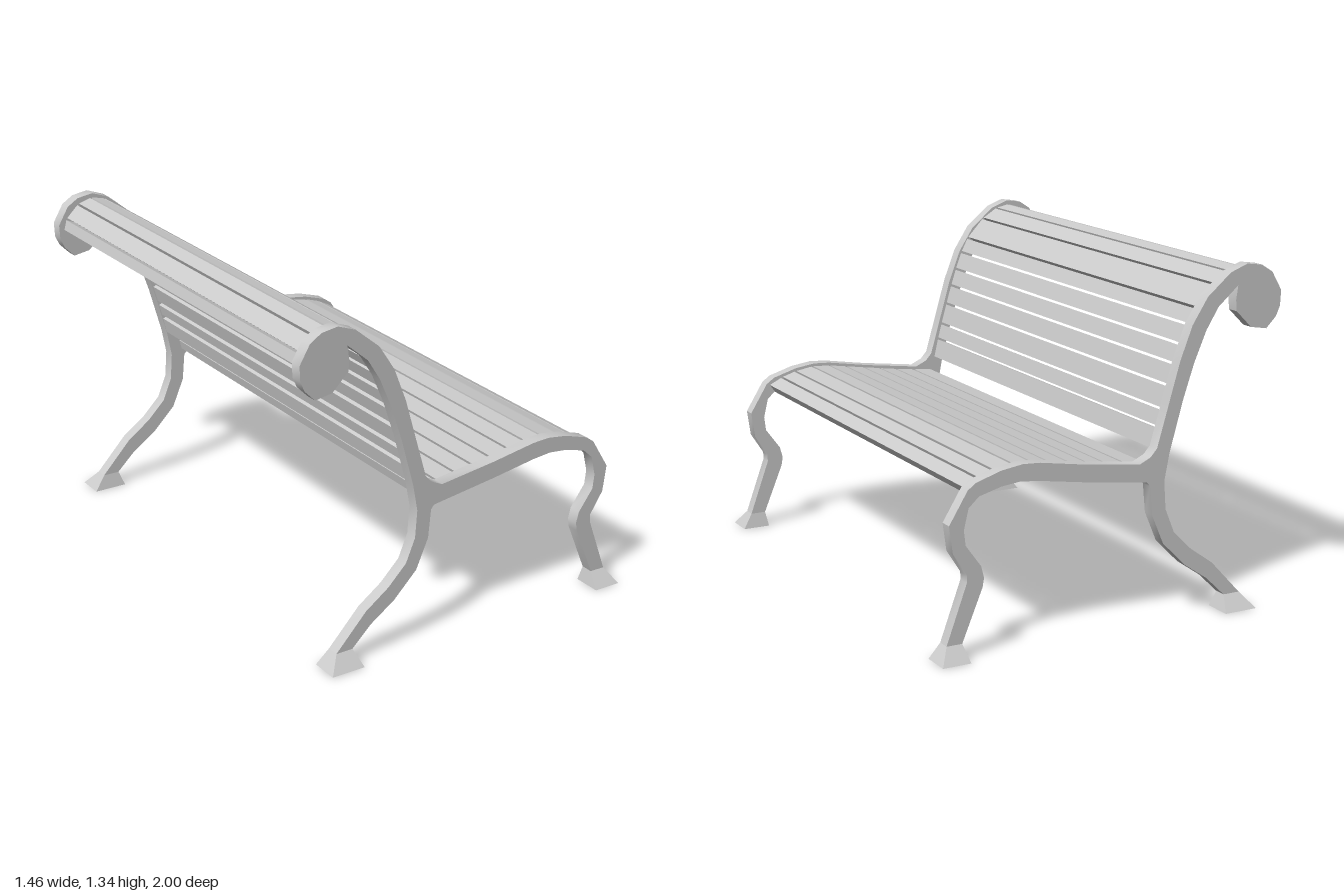
import * as THREE from 'three';
import { toCreasedNormals } from 'three/addons/utils/BufferGeometryUtils.js';

const material = new THREE.MeshStandardMaterial({ color: 0xcccccc });

// Side profile of the end frame (x, y): scroll, back, seat rail and both legs
const FRAME = [
  [-0.73, 1.227], [-0.687, 1.3], [-0.64, 1.33], [-0.573, 1.34], [-0.5, 1.313], [-0.4, 1.23],
  [-0.335, 1.13], [-0.284, 1], [-0.24, 0.85], [-0.19, 0.68], [-0.163, 0.65], [-0.115, 0.628],
  [0.123, 0.66], [0.307, 0.691], [0.378, 0.695], [0.464, 0.683], [0.566, 0.652], [0.6, 0.628],
  [0.675, 0.507], [0.66, 0.401], [0.605, 0.315], [0.605, 0.284], [0.687, 0.06],
  [0.624, 0.06], [0.541, 0.26], [0.535, 0.295], [0.547, 0.34], [0.609, 0.425], [0.616, 0.483],
  [0.597, 0.562], [0.555, 0.6], [0.464, 0.624], [0.389, 0.632], [0.311, 0.624], [0.123, 0.593],
  [-0.15, 0.554], [-0.163, 0.538], [-0.174, 0.425], [-0.225, 0.307], [-0.323, 0.209],
  [-0.425, 0.139], [-0.507, 0.06], [-0.577, 0.06], [-0.448, 0.198], [-0.35, 0.268],
  [-0.272, 0.346], [-0.233, 0.44], [-0.225, 0.55], [-0.245, 0.655], [-0.3, 0.851],
  [-0.346, 0.988], [-0.397, 1.106], [-0.448, 1.188], [-0.534, 1.262], [-0.526, 1.207],
  [-0.53, 1.164], [-0.597, 1.098], [-0.667, 1.086], [-0.71, 1.129], [-0.727, 1.168],
];

// Joints between neighbouring slats, on their outer faces
const SEAT = [
  [0.59, 0.62], [0.53, 0.65], [0.466, 0.67], [0.386, 0.683], [0.307, 0.679], [0.228, 0.666],
  [0.143, 0.653], [0.063, 0.64], [-0.016, 0.628], [-0.1, 0.617], [-0.19, 0.608],
];
const BACK = [
  [-0.205, 0.66], [-0.225, 0.745], [-0.243, 0.812], [-0.268, 0.9], [-0.292, 0.98], [-0.316, 1.052],
  [-0.344, 1.125], [-0.375, 1.186], [-0.452, 1.268], [-0.52, 1.31], [-0.58, 1.323],
  [-0.64, 1.304], [-0.695, 1.25], [-0.708, 1.2],
];

function extrude(points, z0, z1) {
  const shape = new THREE.Shape(points.map(([x, y]) => new THREE.Vector2(x, y)));
  const geometry = new THREE.ExtrudeGeometry(shape, { depth: z1 - z0, bevelEnabled: false });
  return geometry.translate(0, 0, z0);
}

function add(parent, name, geometry) {
  const mesh = new THREE.Mesh(geometry, material);
  mesh.name = name;
  parent.add(mesh);
  return mesh;
}

// Slightly tapered plank whose outer face runs from a to b
function slatGeometry(a, b) {
  const length = Math.hypot(b[0] - a[0], b[1] - a[1]);
  const dx = (b[0] - a[0]) / length, dy = (b[1] - a[1]) / length;
  const gap = 0.005, taper = 0.006, depth = 0.04;
  const at = (along, inward) => [a[0] + dx * along - dy * inward, a[1] + dy * along + dx * inward];
  return extrude([
    at(gap, 0), at(length - gap, 0),
    at(length - gap - taper, depth), at(gap + taper, depth),
  ], -0.9, 0.9);
}

// Flared foot: a box whose bottom is spread outwards
function footGeometry(top, bottom, side) {
  const geometry = new THREE.BoxGeometry(1, 1, 1).toNonIndexed();
  const p = geometry.attributes.position;
  for (let i = 0; i < p.count; i++) {
    const isTop = p.getY(i) > 0;
    const xs = isTop ? top : bottom;
    const zs = isTop ? [0.9, 0.95] : [0.885, 1];
    const outer = p.getZ(i) * side > 0;
    p.setXYZ(i, xs[p.getX(i) > 0 ? 1 : 0], isTop ? 0.06 : 0, side * zs[outer ? 1 : 0]);
  }
  geometry.computeVertexNormals();
  return geometry;
}

export function createModel() {
  const bench = new THREE.Group();
  bench.name = 'bench';

  // End frames with their feet
  for (const side of [1, -1]) {
    const end = new THREE.Group();
    end.name = side > 0 ? 'frontEndFrame' : 'rearEndFrame';
    const [z0, z1] = side > 0 ? [0.9, 0.95] : [-0.95, -0.9];
    add(end, 'frame', toCreasedNormals(extrude(FRAME, z0, z1), 0.6));
    add(end, 'seatLegFoot', footGeometry([0.624, 0.687], [0.613, 0.727], side));
    add(end, 'backLegFoot', footGeometry([-0.577, -0.507], [-0.625, -0.485], side));
    bench.add(end);
  }

  // Slats following the seat and the rolled back
  for (const [name, joints] of [['seatSlat', SEAT], ['backSlat', BACK]]) {
    const slats = new THREE.Group();
    slats.name = name + 's';
    for (let i = 0; i + 1 < joints.length; i++) {
      add(slats, `${name}${i + 1}`, slatGeometry(joints[i], joints[i + 1]));
    }
    bench.add(slats);
  }
  return bench;
}
